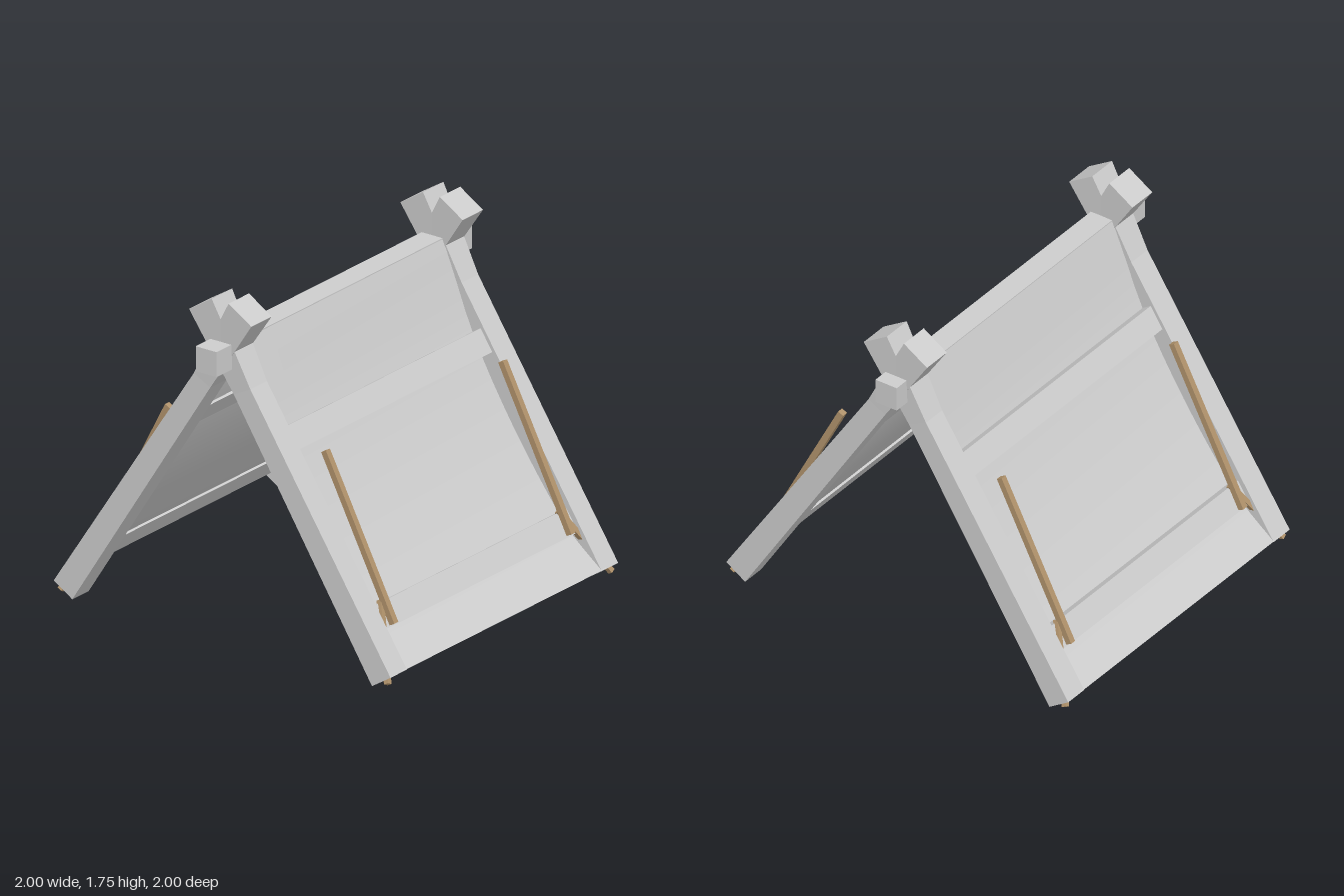
import * as THREE from 'three';

const MID_Z = -0.0175; // centre between the two end frames
const LEG_Z = 0.828;

export function createModel() {
  const model = new THREE.Group();
  model.name = 'tent';
  const grey = new THREE.MeshStandardMaterial({ color: 0xcccccc });
  grey.name = 'pale grey';
  const sheet = new THREE.MeshStandardMaterial({ color: 0xcccccc, side: THREE.DoubleSide });
  sheet.name = 'pale grey cloth';
  const wood = new THREE.MeshStandardMaterial({ color: 0xb0926b });
  wood.name = 'wood brown';

  const add = (parent, name, geometry, material) => {
    const mesh = new THREE.Mesh(geometry, material);
    mesh.name = name;
    parent.add(mesh);
    return mesh;
  };

  // Square rod between two points
  const rod = (parent, name, a, b, size) => {
    const d = b.clone().sub(a);
    const mesh = add(parent, name, new THREE.BoxGeometry(size, d.length(), size), wood);
    mesh.position.copy(a).add(b).multiplyScalar(0.5);
    mesh.quaternion.setFromUnitVectors(new THREE.Vector3(0, 1, 0), d.normalize());
  };

  // Leg outline, with a head that flares in depth towards its tip
  const legGeometry = () => {
    const outline = [[1, 0.07], [0.89, 0], [0.07, 1.29], [-0.085, 1.52], [-0.185, 1.67],
      [-0.05, 1.755], [0.075, 1.52], [0.168, 1.34]];
    const shape = new THREE.Shape(outline.map(([x, y]) => new THREE.Vector2(x, y)));
    const g = new THREE.ExtrudeGeometry(shape, { depth: 1, bevelEnabled: false });
    const p = g.attributes.position;
    for (let i = 0; i < p.count; i++) {
      const along = (0.945 - p.getX(i)) * 0.535 + (p.getY(i) - 0.035) * 0.845;
      const flare = THREE.MathUtils.clamp((along - 1.5) / 0.485, 0, 1);
      p.setZ(i, (p.getZ(i) - 0.5) * 2 * (0.0645 + 0.0155 * flare));
    }
    g.computeVertexNormals();
    return g;
  };

  // Sagging cloth swept between the end frames
  const clothGeometry = () => {
    const curve = new THREE.CatmullRomCurve3([[0.06, 1.545], [0.24, 1.09], [0.475, 0.68],
      [0.74, 0.31], [0.83, 0.21], [1, 0.073]].map(([x, y]) => new THREE.Vector3(x, y, 0)));
    const steps = 20;
    const g = new THREE.PlaneGeometry(1, 1, 1, steps);
    const p = g.attributes.position;
    for (let i = 0; i < p.count; i++) {
      const c = curve.getPoint(Math.floor(i / 2) / steps);
      p.setXYZ(i, c.x, c.y, i % 2 ? -0.8 : 0.8);
    }
    g.computeVertexNormals();
    return g;
  };

  // Ridge pole
  add(model, 'ridgePole', new THREE.BoxGeometry(0.124, 0.128, 2), grey).position.y = 1.481;

  // Both slopes are the same half, turned round the vertical axis
  ['left', 'right'].forEach((side, n) => {
    const half = new THREE.Group();
    half.name = side + 'Slope';
    half.position.z = MID_Z;
    half.rotation.y = n * Math.PI;
    model.add(half);

    add(half, 'clothPanel', clothGeometry(), sheet);

    // Cross bars, outer faces flush with the legs
    for (const [name, x, y] of [['upperBar', 0.315, 1.083], ['lowerBar', 0.825, 0.287]]) {
      const bar = add(half, name, new THREE.BoxGeometry(0.07, 0.126, 2 * LEG_Z - 0.08), grey);
      bar.position.set(x - 0.035 * 0.84, y - 0.035 * 0.54, 0);
      bar.rotation.z = 0.575;
    }

    for (const s of [1, -1]) {
      add(half, 'leg', legGeometry(), grey).position.z = s * LEG_Z;
      // Wooden stick leaning on the slope
      const stick = add(half, 'stick', new THREE.BoxGeometry(0.032, 0.885, 0.032), wood);
      stick.position.set(0.667, 0.643, s * 0.694);
      stick.rotation.z = 0.477;
      // Peg running through the foot of the leg
      rod(half, 'peg', new THREE.Vector3(0.79, 0.35, s * 0.695),
        new THREE.Vector3(0.972, 0.025, s * 0.877), 0.026);
    }
  });
  return model;
}
